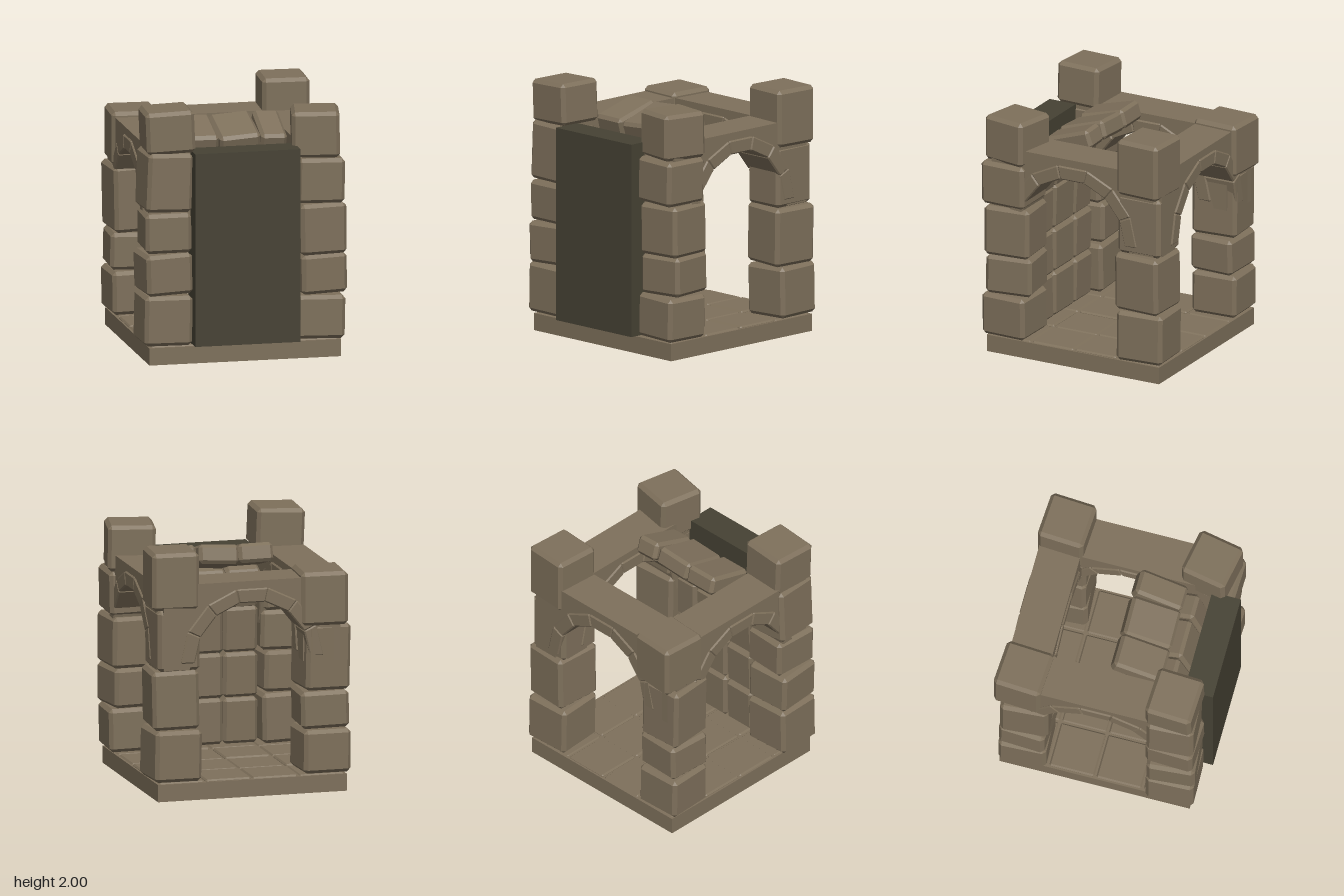
import * as THREE from 'three';
import { ConvexGeometry } from 'three/addons/geometries/ConvexGeometry.js';

const stone = new THREE.MeshStandardMaterial({ color: 0x7e705b, flatShading: true });
stone.name = 'stone';
const darkPanel = new THREE.MeshStandardMaterial({ color: 0x464234, flatShading: true });
darkPanel.name = 'dark panel';

// Chamfered block; taper widens the top and narrows the bottom
function block(name, w, h, d, bevel = 0.025, taper = 0) {
  const points = [];
  for (const sx of [-1, 1]) for (const sy of [-1, 1]) for (const sz of [-1, 1]) {
    for (let axis = 0; axis < 3; axis++) {
      const inset = [0, 1, 2].map((i) => (i === axis ? 0 : bevel));
      const y = sy * (h / 2 - inset[1]);
      const widen = 1 + taper * (y / h);
      points.push(new THREE.Vector3(
        sx * (w / 2 - inset[0]) * widen, y, sz * (d / 2 - inset[2])));
    }
  }
  const mesh = new THREE.Mesh(new ConvexGeometry(points), stone);
  mesh.name = name;
  return mesh;
}

function box(name, material, x0, x1, y0, y1, z0, z1) {
  const mesh = new THREE.Mesh(new THREE.BoxGeometry(x1 - x0, y1 - y0, z1 - z0), material);
  mesh.name = name;
  mesh.position.set((x0 + x1) / 2, (y0 + y1) / 2, (z0 + z1) / 2);
  return mesh;
}

// Each block: bottom, top, centre x, centre z, width, depth, yaw, roll
const pillars = {
  frontRightPillar: [
    [0.15, 0.54, -0.615, 0.58, 0.38, 0.38, 0.03, -0.02],
    [0.55, 0.87, -0.615, 0.58, 0.37, 0.38, 0.08, 0.03],
    [0.88, 1.19, -0.605, 0.58, 0.36, 0.38, -0.04, 0.01],
    [1.20, 1.66, -0.605, 0.575, 0.36, 0.37, 0.05, -0.04],
    [1.66, 1.99, -0.585, 0.575, 0.38, 0.37, -0.05, 0.04],
  ],
  frontLeftPillar: [
    [0.15, 0.49, 0.60, 0.58, 0.38, 0.38, -0.04, -0.02],
    [0.50, 0.81, 0.605, 0.56, 0.37, 0.38, 0.13, 0.01],
    [0.81, 1.21, 0.605, 0.57, 0.37, 0.38, 0.08, 0.01],
    [1.22, 1.57, 0.60, 0.59, 0.37, 0.38, -0.03, -0.02],
    [1.57, 1.93, 0.59, 0.56, 0.37, 0.37, -0.19, 0.01],
  ],
  backLeftPillar: [
    [0.15, 0.55, 0.60, -0.60, 0.38, 0.39, 0.06, 0.02],
    [0.56, 1.02, 0.60, -0.59, 0.37, 0.39, -0.06, -0.02],
    [1.02, 1.50, 0.585, -0.59, 0.34, 0.37, 0.01, 0],
    [1.50, 1.95, 0.60, -0.60, 0.37, 0.37, -0.06, 0],
  ],
  backRightPillar: [
    [0.15, 0.49, -0.60, -0.60, 0.38, 0.38, 0.04, 0.01],
    [0.50, 0.79, -0.60, -0.59, 0.38, 0.37, -0.05, -0.02],
    [0.80, 1.32, -0.605, -0.59, 0.36, 0.38, 0.07, 0.02],
    [1.32, 1.74, -0.585, -0.63, 0.37, 0.38, -0.06, 0],
  ],
};

function makePillar(name, rows) {
  const pillar = new THREE.Group();
  pillar.name = name;
  for (const [y0, y1, x, z, w, d, yaw, roll] of rows) {
    const b = block('pillarBlock', w, y1 - y0, d, 0.028);
    b.position.set(x, (y0 + y1) / 2, z);
    b.rotation.set(0, yaw, roll);
    pillar.add(b);
  }
  return pillar;
}

// Wall section with an arched opening, ringed by wedge stones
function makeArchWall(name) {
  const wall = new THREE.Group();
  wall.name = name;
  const half = 0.71, springY = 1.08, radius = 0.5, depth = 0.33;
  const shape = new THREE.Shape();
  shape.moveTo(-half, springY - 0.05);
  shape.lineTo(-radius, springY - 0.05);
  shape.lineTo(-radius, springY);
  for (let i = 1; i <= 14; i++) {
    const a = Math.PI * (1 - i / 14);
    shape.lineTo(radius * Math.cos(a), springY + radius * Math.sin(a));
  }
  shape.lineTo(radius, springY - 0.05);
  shape.lineTo(half, springY - 0.05);
  shape.lineTo(half, 1.7);
  shape.lineTo(-half, 1.7);
  const geometry = new THREE.ExtrudeGeometry(shape, { depth, bevelEnabled: false });
  geometry.translate(0, 0, -depth / 2);
  const spandrel = new THREE.Mesh(geometry, stone);
  spandrel.name = 'spandrel';
  wall.add(spandrel);

  for (let i = -3; i <= 3; i++) {
    const a = i * Math.PI / 7;
    const wedge = block('archStone', 0.231, 0.11, depth + 0.024, 0.01, 0.22);
    wedge.position.set(0.505 * Math.sin(a), springY + 0.505 * Math.cos(a), 0);
    wedge.rotation.z = -a;
    wall.add(wedge);
  }
  return wall;
}

export function createModel() {
  const model = new THREE.Group();
  model.name = 'stoneArchRoom';

  // Base slab and floor tiles
  model.add(box('base', stone, -0.76, 0.755, 0, 0.135, -0.775, 0.74));
  const floor = new THREE.Group();
  floor.name = 'floorTiles';
  for (let i = 0; i < 4; i++) for (let j = 0; j < 4; j++) {
    const tile = block('floorTile', 0.36, 0.04, 0.36, 0.012);
    tile.position.set(-0.565 + i * 0.375, 0.124 + ((i + 2 * j) % 3) * 0.003, -0.58 + j * 0.375);
    floor.add(tile);
  }
  model.add(floor);

  // Corner pillars
  for (const [name, rows] of Object.entries(pillars)) model.add(makePillar(name, rows));

  // Three arched walls
  const walls = [
    ['leftArchWall', 0.585, -0.01, Math.PI / 2],
    ['rightArchWall', -0.59, -0.01, Math.PI / 2],
    ['backArchWall', 0, -0.612, 0],
  ];
  for (const [name, x, z, yaw] of walls) {
    const wall = makeArchWall(name);
    wall.position.set(x, 0, z);
    wall.rotation.y = yaw;
    model.add(wall);
  }

  // Front stone wall curving inward at the top, three columns wide
  const frontWall = new THREE.Group();
  frontWall.name = 'curvedFrontWall';
  const columns = [[-0.41, -0.13], [-0.13, 0.195], [0.2, 0.41]];
  // Each row: centre y, centre z, height, depth, tilt
  const rows = [
    [0.33, 0.525, 0.36, 0.15, 0],
    [0.69, 0.525, 0.35, 0.15, 0],
    [1.05, 0.525, 0.36, 0.15, -0.04],
    [1.39, 0.48, 0.34, 0.15, -0.3],
    [1.69, 0.215, 0.40, 0.15, -1.27],
  ];
  columns.forEach(([x0, x1], c) => {
    rows.forEach(([y, z, h, d, tilt], r) => {
      const b = block('wallStone', x1 - x0 - 0.004, h, d, 0.025);
      b.position.set((x0 + x1) / 2, y, z);
      b.rotation.set(tilt + (c - 1) * 0.03, 0, r === 4 ? [-0.01, 0.06, -0.04][c] * 0.5 : 0);
      if (r === 4) b.rotation.y = [0.01, -0.06, 0.04][c];
      frontWall.add(b);
    });
  });
  model.add(frontWall);

  // Dark slab across the front
  model.add(box('frontPanel', darkPanel, -0.42, 0.412, 0.15, 1.67, 0.605, 0.835));
  return model;
}
